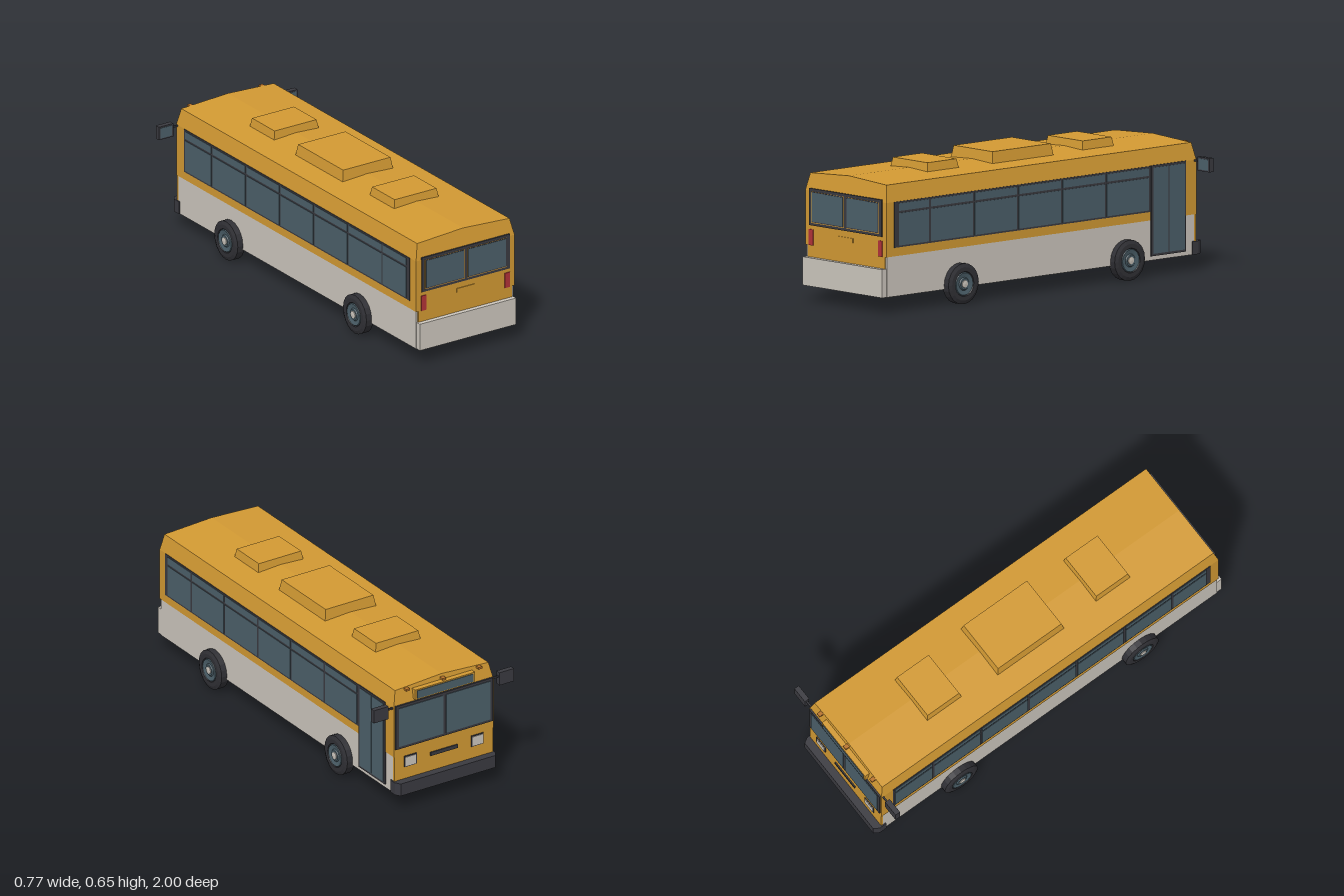
import * as THREE from 'three';

const mat = (name, color) => Object.assign(new THREE.MeshStandardMaterial({ color }), { name });

export function createModel() {
  const yellow = mat('yellow paint', 0xd39a33);
  const pale = mat('pale skirt', 0xcdc7be);
  const glass = mat('tinted glass', 0x4c606a);
  const trim = mat('dark trim', 0x3a3a40);
  const rubber = mat('rubber', 0x303035);
  const under = mat('underside', 0x1c1c1f);
  const red = mat('tail light red', 0xb23238);
  const amber = mat('marker amber', 0xb8742a);

  const bus = new THREE.Group();
  bus.name = 'bus';
  const add = (name, geo, m, parent = bus) => {
    const mesh = new THREE.Mesh(geo, m);
    mesh.name = name;
    parent.add(mesh);
    return mesh;
  };
  // Box given by its minimum and maximum on each axis
  const box = (name, m, x0, x1, y0, y1, z0, z1) => {
    const g = new THREE.BoxGeometry(x1 - x0, y1 - y0, z1 - z0);
    g.translate((x0 + x1) / 2, (y0 + y1) / 2, (z0 + z1) / 2);
    return add(name, g, m);
  };
  // Thin plate on a side wall; s is +1 or -1
  const sidePlate = (name, m, s, y0, y1, z0, z1, out) =>
    box(name, m, s > 0 ? 0.268 : -out, s > 0 ? out : -0.268, y0, y1, z0, z1);
  // Box whose top is narrower than its base
  const taperedBox = (name, m, w, h, d, inset, y, z) => {
    const g = new THREE.BoxGeometry(w, h, d);
    const p = g.attributes.position;
    for (let i = 0; i < p.count; i++) {
      if (p.getY(i) > 0) {
        p.setX(i, p.getX(i) - Math.sign(p.getX(i)) * inset);
        p.setZ(i, p.getZ(i) - Math.sign(p.getZ(i)) * inset);
      }
    }
    g.translate(0, y + h / 2, z);
    const flat = g.toNonIndexed();
    flat.computeVertexNormals();
    return add(name, flat, m);
  };

  // Body shell: pale skirt, yellow middle
  box('skirt', pale, -0.272, 0.272, 0.075, 0.262, -0.95, 0.972);
  box('bodySide', yellow, -0.275, 0.275, 0.262, 0.515, -0.96, 0.978);
  box('frontPanel', yellow, -0.272, 0.272, 0.1, 0.263, -0.96, -0.948);
  box('rearPanel', yellow, -0.262, 0.262, 0.19, 0.263, 0.96, 0.977);
  box('floor', under, -0.258, 0.258, 0.073, 0.08, -0.935, 0.958);

  // Roof: cross-section along the length, with both ends leaning inward
  const roofShape = new THREE.Shape([
    [-0.275, 0.515], [0.275, 0.515], [0.258, 0.595], [0, 0.609], [-0.258, 0.595],
  ].map(([x, y]) => new THREE.Vector2(x, y)));
  const roof = new THREE.ExtrudeGeometry(roofShape, { depth: 1.938, bevelEnabled: false });
  roof.translate(0, 0, -0.96);
  const rp = roof.attributes.position;
  for (let i = 0; i < rp.count; i++) {
    const z = rp.getZ(i);
    rp.setZ(i, z - Math.sign(z) * 0.2 * (rp.getY(i) - 0.515));
  }
  roof.computeVertexNormals();
  add('roof', roof, yellow);

  // Roof units
  taperedBox('roofUnit', yellow, 0.284, 0.062, 0.384, 0.01, 0.593, 0);
  for (const s of [-1, 1]) taperedBox('roofHatch', yellow, 0.252, 0.05, 0.2, 0.009, 0.593, s * 0.485);

  // Side windows: dark surround, panes and a sliding-window bar
  const splits = [0.71, 0.435, 0.16, -0.115, -0.39, -0.665];
  for (const s of [-1, 1]) {
    const end = s > 0 ? -0.685 : -0.895;
    sidePlate('sideWindowFrame', trim, s, 0.302, 0.515, end, 0.93, 0.278);
    const edges = [0.91, ...splits];
    if (s < 0) edges.push(-0.89);
    for (let i = 0; i + 1 < edges.length; i++) {
      const z1 = edges[i] - 0.006, z0 = edges[i + 1] + 0.006;
      sidePlate('lowerPane', glass, s, 0.31, 0.461, z0, z1, 0.28);
      sidePlate('upperPane', glass, s, 0.471, 0.507, z0, z1, 0.28);
    }
  }

  // Double door on the left side
  sidePlate('doorFrame', trim, 1, 0.095, 0.517, -0.892, -0.675, 0.2795);
  sidePlate('doorPane', glass, 1, 0.106, 0.507, -0.78, -0.687, 0.282);
  sidePlate('doorPane', glass, 1, 0.106, 0.507, -0.882, -0.787, 0.282);

  // Rear end: window, lights, handle and bumper
  box('rearWindowFrame', trim, -0.246, 0.246, 0.355, 0.527, 0.97, 0.983);
  for (const s of [-1, 1]) {
    const x = s * 0.118;
    box('rearWindowSeal', yellow, x - 0.112, x + 0.112, 0.367, 0.513, 0.975, 0.984);
    box('rearWindowRim', trim, x - 0.109, x + 0.109, 0.37, 0.512, 0.975, 0.985);
    box('rearPane', glass, x - 0.105, x + 0.105, 0.374, 0.509, 0.975, 0.986);
    box('tailLight', red, s * 0.234 - 0.014, s * 0.234 + 0.014, 0.262, 0.336, 0.972, 0.982);
  }
  box('rearHandle', yellow, -0.05, 0.05, 0.305, 0.325, 0.97, 0.982);
  box('rearBumper', pale, -0.269, 0.269, 0.075, 0.207, 0.965, 1);

  // Front end: windscreen, sign, lights and grille
  box('windscreenFrame', trim, -0.268, 0.268, 0.3, 0.523, -0.967, -0.955);
  for (const s of [-1, 1]) {
    const x = s * 0.13;
    box('windscreenPane', glass, x - 0.122, x + 0.122, 0.313, 0.51, -0.97, -0.96);
    box('headlight', trim, s * 0.185 - 0.034, s * 0.185 + 0.034, 0.197, 0.253, -0.964, -0.955);
    box('headlightLens', pale, s * 0.185 - 0.029, s * 0.185 + 0.029, 0.202, 0.248, -0.967, -0.957);
  }
  box('grilleSlot', trim, -0.075, 0.075, 0.215, 0.233, -0.966, -0.955);
  box('signHousing', yellow, -0.165, 0.165, 0.531, 0.583, -0.972, -0.94);
  box('signGlass', glass, -0.155, 0.155, 0.537, 0.577, -0.975, -0.965);
  for (const x of [-0.2, 0, 0.2]) box('markerLight', amber, x - 0.01, x + 0.01, 0.586, 0.596, -0.966, -0.94);

  // Front bumper wrapping round the corners
  const bumperShape = new THREE.Shape([
    [-0.278, 0.935], [0.278, 0.935], [0.278, 0.972], [0.262, 0.998], [-0.262, 0.998], [-0.278, 0.972],
  ].map(([x, y]) => new THREE.Vector2(x, y)));
  const bumper = new THREE.ExtrudeGeometry(bumperShape, { depth: 0.062, bevelEnabled: false });
  bumper.rotateX(-Math.PI / 2);
  bumper.translate(0, 0.075, 0);
  add('frontBumper', bumper, trim);

  // Mirrors on arms
  for (const s of [-1, 1]) {
    const x = s * 0.347;
    box('mirrorHousing', trim, x - 0.04, x + 0.04, 0.47, 0.535, -0.963, -0.938);
    box('mirrorGlass', glass, x - 0.032, x + 0.032, 0.477, 0.528, -0.94, -0.936);
    box('mirrorArm', trim, s * 0.29 - 0.025, s * 0.29 + 0.025, 0.508, 0.516, -0.954, -0.946);
  }

  // Wheels: turned profiles, axis pointing outward
  const lathe = (points) => {
    const g = new THREE.LatheGeometry(points.map(([r, h]) => new THREE.Vector2(r, h)), 20).toNonIndexed();
    g.computeVertexNormals();
    return g;
  };
  const tyre = lathe([[0, 0], [0.078, 0], [0.095, 0.009], [0.095, 0.047], [0.078, 0.054], [0.058, 0.054], [0.054, 0.048], [0, 0.048]]);
  const rim = lathe([[0.055, 0.048], [0.052, 0.054], [0.032, 0.05], [0, 0.05]]);
  const ring = lathe([[0.032, 0.049], [0.026, 0.055], [0, 0.055]]);
  const cap = lathe([[0.019, 0.05], [0.017, 0.058], [0, 0.06]]);
  for (const s of [-1, 1]) {
    for (const z of [-0.52, 0.52]) {
      const wheel = new THREE.Group();
      wheel.name = 'wheel';
      add('tyre', tyre, rubber, wheel);
      add('rim', rim, glass, wheel);
      add('hubRing', ring, glass, wheel);
      add('hubCap', cap, pale, wheel);
      wheel.rotation.z = -s * Math.PI / 2;
      wheel.position.set(s * 0.254, 0.095, z);
      bus.add(wheel);
    }
  }
  return bus;
}
